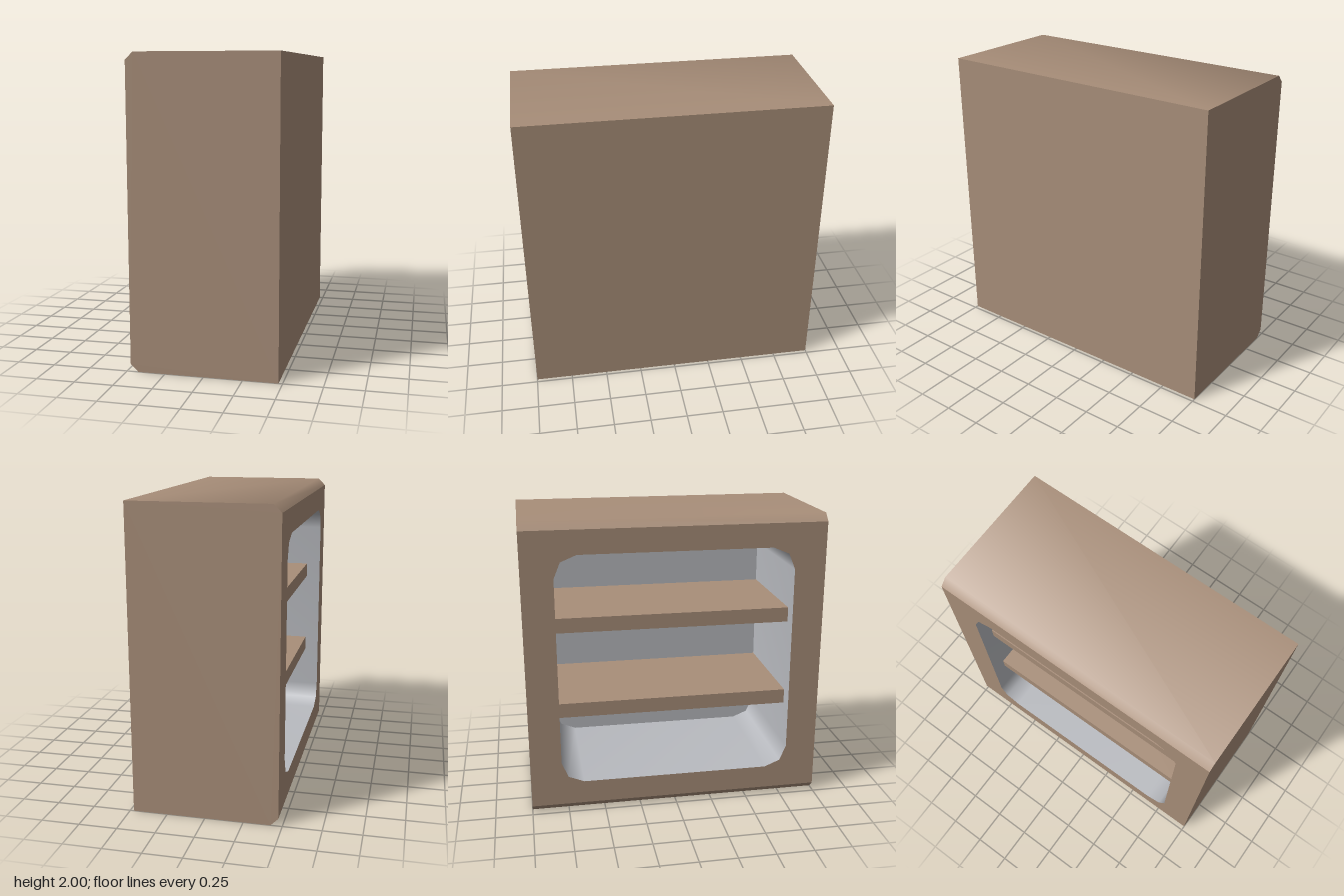
import * as THREE from 'three';
import { mergeVertices, toCreasedNormals } from 'three/addons/utils/BufferGeometryUtils.js';

const W = 0.475, H = 2, D = 1, CH = 0.05;             // half width, height, half depth, chamfer
const OPEN = 0.79, RADIUS = 0.15, BACK = 0.42;        // opening half size, corner radius, inner back

// Quads between two parallel rows of points
function strip(a, b, closed) {
  const pos = [];
  const n = closed ? a.length : a.length - 1;
  for (let i = 0; i < n; i++) {
    const j = (i + 1) % a.length;
    for (const p of [a[i], a[j], b[j], a[i], b[j], b[i]]) pos.push(...p);
  }
  const geo = new THREE.BufferGeometry();
  geo.setAttribute('position', new THREE.Float32BufferAttribute(pos, 3));
  return geo;
}

// Flat shape drawn in (z, y), turned to face -x
function sidePlate(shape, x) {
  return new THREE.ShapeGeometry(shape).rotateY(-Math.PI / 2).translate(x, 0, 0);
}

export function createModel() {
  const group = new THREE.Group();
  const wood = new THREE.MeshStandardMaterial({ color: 0xa88e79 });
  wood.name = 'brown wood';
  const lining = new THREE.MeshStandardMaterial({ color: 0xb8babf, side: THREE.DoubleSide });
  lining.name = 'grey lining';
  const add = (name, geo, mat) => {
    const mesh = new THREE.Mesh(geo, mat);
    mesh.name = name;
    group.add(mesh);
    return mesh;
  };

  // Outer shell: top, bottom and rear, chamfered along the open side
  const profile = [[-W, CH], [-W + CH, 0], [W, 0], [W, H], [-W + CH, H], [-W, H - CH]];
  const shell = strip(profile.map(([x, y]) => [x, y, -D]), profile.map(([x, y]) => [x, y, D]), false);
  add('outerShell', toCreasedNormals(shell, Math.PI / 3), wood);

  // End walls
  const endShape = new THREE.Shape(profile.map(([x, y]) => new THREE.Vector2(x, y)));
  add('endWallFront', new THREE.ShapeGeometry(endShape).translate(0, 0, D), wood);
  add('endWallBack', new THREE.ShapeGeometry(endShape).rotateY(Math.PI).scale(-1, 1, 1), wood);
  const backWall = group.getObjectByName('endWallBack');
  backWall.geometry = new THREE.ShapeGeometry(
    new THREE.Shape(profile.map(([x, y]) => new THREE.Vector2(-x, y)))
  ).rotateY(Math.PI).translate(0, 0, -D);

  // Opening outline with two facets per corner, counter-clockwise in (z, y)
  const outline = [];
  const c = OPEN - RADIUS;
  [[1, 1], [-1, 1], [-1, -1], [1, -1]].forEach(([sz, sy], k) => {
    for (let i = 0; i <= 2; i++) {
      const t = (k + i / 2) * Math.PI / 2;
      outline.push(new THREE.Vector2(sz * c + RADIUS * Math.cos(t), H / 2 + sy * c + RADIUS * Math.sin(t)));
    }
  });

  // Face frame around the opening
  const frame = new THREE.Shape([[-D, CH], [D, CH], [D, H - CH], [-D, H - CH]]
    .map(([z, y]) => new THREE.Vector2(z, y)));
  frame.holes.push(new THREE.Path(outline));
  add('faceFrame', sidePlate(frame, -W), wood);

  // Smooth inner lining and its rear panel
  const liner = mergeVertices(strip(outline.map(p => [-W, p.y, p.x]), outline.map(p => [BACK, p.y, p.x]), true));
  liner.computeVertexNormals();
  add('innerLining', liner, lining);
  add('innerBackPanel', sidePlate(new THREE.Shape(outline), BACK), lining);

  // Shelves, set back from the opening
  const front = -W + 0.1;
  for (const [name, y] of [['lowerShelf', 0.7], ['upperShelf', 1.3]]) {
    const shelf = add(name, new THREE.BoxGeometry(BACK - front, 0.1, OPEN * 2), wood);
    shelf.position.set((BACK + front) / 2, y, 0);
  }
  return group;
}
